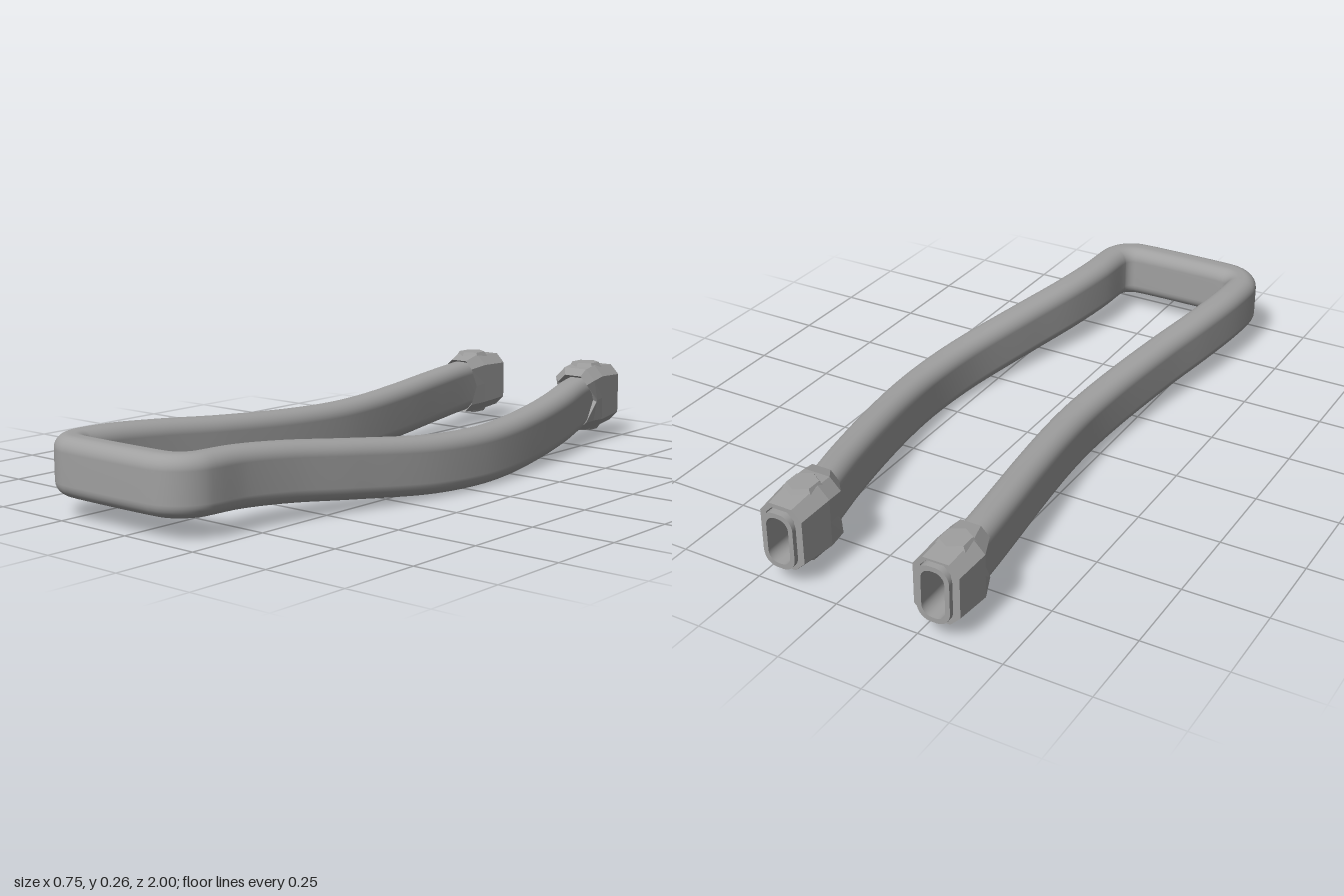
import * as THREE from 'three';

const gray = new THREE.MeshStandardMaterial({ color: 0xa0a0a0, side: THREE.DoubleSide });
gray.name = 'plain gray';
const grayFlat = gray; // one colour for the whole model

// Skin a list of equal-length closed rings.
function loft(rings, inward = false) {
  const n = rings[0].length, pos = [], idx = [];
  rings.forEach(r => r.forEach(p => pos.push(p.x, p.y, p.z)));
  for (let j = 0; j < rings.length - 1; j++) {
    for (let i = 0; i < n; i++) {
      const a = j * n + i, b = j * n + (i + 1) % n, c = a + n, d = b + n;
      if (inward) idx.push(a, b, c, b, d, c);
      else idx.push(a, c, b, b, c, d);
    }
  }
  const g = new THREE.BufferGeometry();
  g.setAttribute('position', new THREE.Float32BufferAttribute(pos, 3));
  g.setIndex(idx);
  g.computeVertexNormals();
  return g;
}

function flat(geometry) {
  const g = geometry.index ? geometry.toNonIndexed() : geometry;
  g.computeVertexNormals();
  return g;
}

function addMesh(parent, geometry, name) {
  const m = new THREE.Mesh(geometry, grayFlat);
  m.name = name;
  parent.add(m);
  return m;
}

// Rounded rectangle outline, counter-clockwise.
function roundedSection(hw, hh, r, seg = 7) {
  const pts = [];
  [[1, 1], [-1, 1], [-1, -1], [1, -1]].forEach(([sx, sy], q) => {
    for (let k = 0; k <= seg; k++) {
      const a = (q + k / seg) * Math.PI / 2;
      pts.push([sx * (hw - r) + r * Math.cos(a), sy * (hh - r) + r * Math.sin(a)]);
    }
  });
  return pts;
}

// Centre line: one arm forward, across the front bar, other arm back.
function centreLine() {
  const left = [[-0.30, -1], [-0.298, -0.9], [-0.288, -0.78], [-0.264, -0.6], [-0.235, -0.4],
    [-0.212, -0.2], [-0.205, -0.05], [-0.215, 0.14], [-0.248, 0.4], [-0.284, 0.6], [-0.306, 0.76]];
  const right = [[0.175, -1], [0.178, -0.9], [0.197, -0.78], [0.245, -0.6], [0.288, -0.4],
    [0.318, -0.2], [0.325, -0.05], [0.308, 0.14], [0.246, 0.4], [0.194, 0.6], [0.167, 0.76]];
  const pts = [];
  left.forEach(([x, z]) => pts.push(new THREE.Vector3(x, 0.142 - 0.37 * (x + 0.31), z)));
  const r = 0.08, y = 0.142, xl = -0.31, xr = 0.162, zf = 0.948;
  for (let k = 0; k <= 5; k++) {
    const a = k / 5 * Math.PI / 2;
    pts.push(new THREE.Vector3(xl + r - r * Math.cos(a), y, zf - r + r * Math.sin(a)));
  }
  for (let k = 5; k >= 0; k--) {
    const a = k / 5 * Math.PI / 2;
    pts.push(new THREE.Vector3(xr - r + r * Math.cos(a), y, zf - r + r * Math.sin(a)));
  }
  right.reverse().forEach(([x, z]) => pts.push(new THREE.Vector3(x, 0.142 - 0.35 * (x - 0.162), z)));
  return new THREE.CatmullRomCurve3(pts, false, 'centripetal');
}

function sweep(curve, section, steps) {
  const rings = [], up = new THREE.Vector3(0, 1, 0);
  for (let j = 0; j <= steps; j++) {
    const c = curve.getPoint(j / steps), t = curve.getTangent(j / steps);
    t.y = 0;
    if (j === 0 || j === steps) t.set(0, 0, j === 0 ? 1 : -1);
    const side = t.normalize().clone().cross(up);
    rings.push(section.map(([a, b]) => c.clone().addScaledVector(side, a).addScaledVector(up, b)));
  }
  return rings;
}

// Chamfered outline with a point halfway up each side that can be notched back.
function collarRing([z, x0, x1, y0, y1, chamfer, notch = 0]) {
  const cx = (x0 + x1) / 2, cy = (y0 + y1) / 2, w = (x1 - x0) / 2, h = (y1 - y0) / 2, c = chamfer;
  return [[w, 0], [w, h - c], [w - c, h], [c - w, h], [-w, h - c],
    [-w, 0], [-w, c - h], [c - w, -h], [w - c, -h], [w, c - h]]
    .map(([a, b]) => new THREE.Vector3(cx - a, cy + b, z - (b === 0 ? notch : 0)));
}

function collar(name, specs, pad) {
  const g = new THREE.Group();
  g.name = name;
  addMesh(g, flat(loft(specs.map(collarRing))), name + 'Sleeve');
  // Raised faceted pads above and below
  pad.forEach(([x, y, z]) => {
    const p = new THREE.CylinderGeometry(0.042, 0.052, 0.016, 6);
    p.scale(1, y < 0.1 ? -1 : 1, 1.1);
    if (y < 0.1) p.rotateZ(Math.PI).scale(1, -1, 1);
    p.translate(x, y, z);
    addMesh(g, flat(p), name + 'Pad');
  });
  return g;
}

export function createModel() {
  const model = new THREE.Group();
  model.name = 'bentTubeFrame';

  // Hollow rounded tube
  const curve = centreLine(), steps = 264;
  const outer = sweep(curve, roundedSection(0.049, 0.084, 0.04), steps);
  const inner = sweep(curve, roundedSection(0.035, 0.07, 0.03), steps);
  addMesh(model, loft(outer), 'tube');
  addMesh(model, loft(inner, true), 'tubeLining');
  addMesh(model, loft([inner[0], outer[0]]), 'rightTubeRim');
  addMesh(model, loft([outer[steps], inner[steps]]), 'leftTubeRim');

  // Faceted collars on the open ends: z, x range, y range, chamfer, side notch
  model.add(collar('rightCollar', [
    [-0.985, -0.345, -0.255, 0.066, 0.226, 0.02],
    [-0.985, -0.37, -0.233, 0.052, 0.232, 0.03],
    [-0.87, -0.375, -0.23, 0.042, 0.24, 0.034],
    [-0.79, -0.34, -0.228, 0.05, 0.226, 0.026, 0.03],
    [-0.825, -0.33, -0.24, 0.07, 0.212, 0.02, 0.02],
  ], [[-0.302, 0.238, -0.89], [-0.302, 0.045, -0.89]]));
  model.add(collar('leftCollar', [
    [-0.985, 0.13, 0.22, 0.066, 0.226, 0.02],
    [-0.985, 0.106, 0.238, 0.05, 0.238, 0.03],
    [-0.87, 0.1, 0.25, 0.038, 0.249, 0.034],
    [-0.81, 0.106, 0.256, 0.042, 0.242, 0.034, 0.02],
    [-0.76, 0.148, 0.26, 0.05, 0.226, 0.026, 0.06],
    [-0.81, 0.15, 0.24, 0.07, 0.21, 0.02, 0.02],
  ], [[0.175, 0.248, -0.88], [0.175, 0.04, -0.88]]));

  return model;
}
